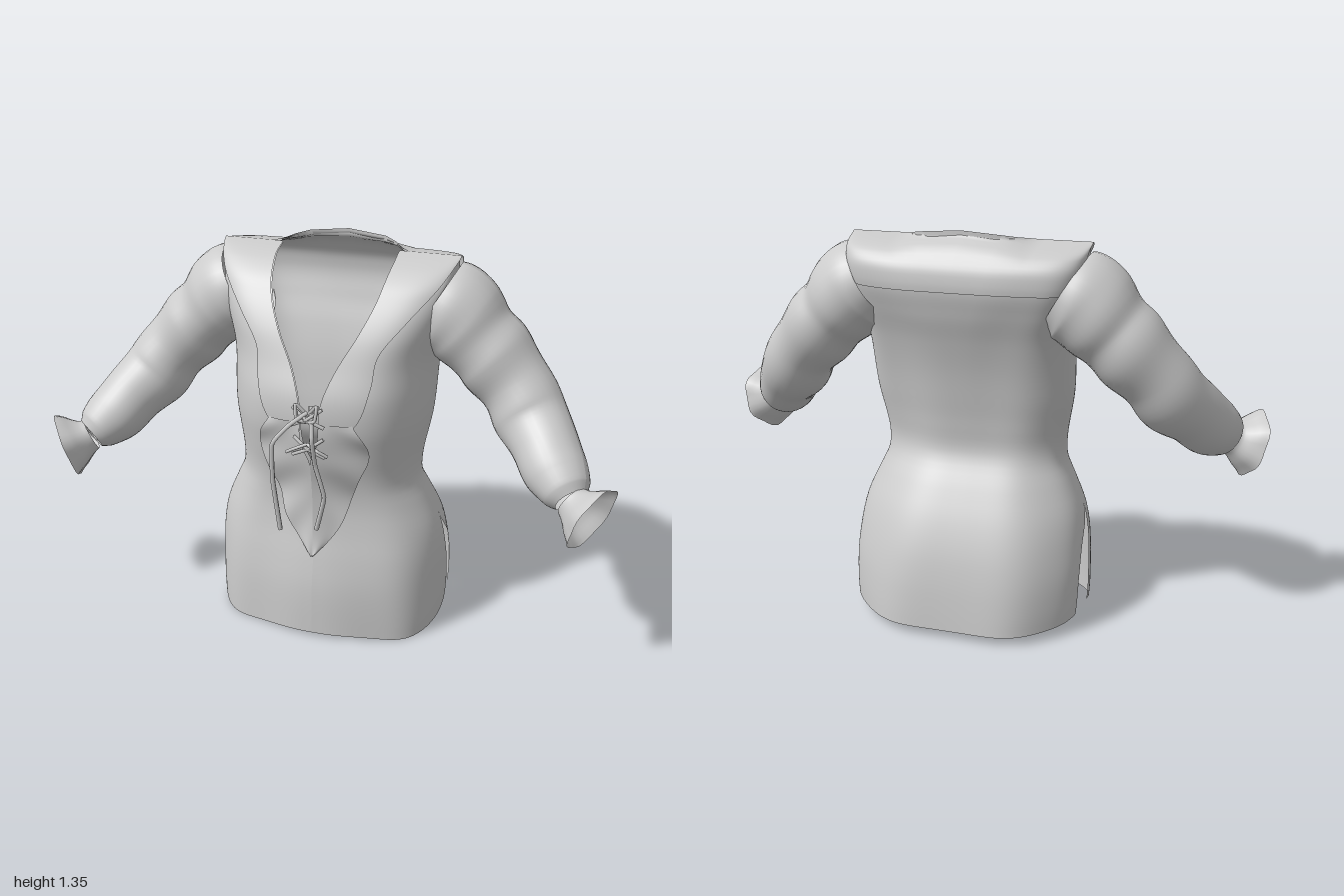
import * as THREE from 'three';

const cloth = new THREE.MeshStandardMaterial({ color: 0xcccccc, side: THREE.DoubleSide });

// Smooth curve through [position, value] pairs
function curve(pairs) {
  const c = new THREE.CubicInterpolant(pairs.map(p => p[0]), pairs.map(p => p[1]), 1, new Float64Array(1));
  return t => c.evaluate(t)[0];
}

// Open sheet from a rule f(u, v) -> [x, y, z]
function sheet(name, nu, nv, f) {
  const pos = [], idx = [];
  for (let j = 0; j <= nv; j++) for (let i = 0; i <= nu; i++) pos.push(...f(i / nu, j / nv));
  for (let j = 0; j < nv; j++) for (let i = 0; i < nu; i++) {
    const a = j * (nu + 1) + i, b = a + nu + 1;
    idx.push(a, a + 1, b, a + 1, b + 1, b);
  }
  const g = new THREE.BufferGeometry();
  g.setAttribute('position', new THREE.Float32BufferAttribute(pos, 3));
  g.setIndex(idx);
  g.computeVertexNormals();
  const m = new THREE.Mesh(g, cloth);
  m.name = name;
  return m;
}

// Body profiles by height: half width, front, back, side seam, squareness
const width = curve([[0, .408], [.1, .414], [.3, .407], [.4, .388], [.5, .345], [.56, .318], [.62, .315], [.8, .342], [1, .35], [1.1, .365], [1.2, .38], [1.32, .395]]);
const front = curve([[0, .26], [.2, .255], [.3, .24], [.4, .22], [.5, .21], [.6, .22], [.7, .245], [.8, .265], [.9, .26], [1, .222], [1.1, .177], [1.2, .11], [1.25, .065], [1.29, .005], [1.31, -.04], [1.32, -.08]]);
const back = curve([[0, -.37], [.1, -.36], [.2, -.345], [.3, -.32], [.4, -.28], [.5, -.225], [.6, -.165], [.7, -.165], [.8, -.178], [.9, -.195], [1, -.22], [1.1, -.25], [1.2, -.266], [1.27, -.238], [1.3, -.185], [1.32, -.08]]);
const seam = curve([[0, -.03], [.2, -.035], [.3, -.02], [.4, -.01], [.6, 0], [.8, -.04], [1, -.08], [1.32, -.08]]);
const power = curve([[0, 2.5], [.5, 2.3], [.9, 2.3], [1.05, 2.7], [1.2, 4], [1.32, 5]]);
// Neck opening, collar edge and side slit by height
const neck = curve([[.6, 0], [.68, 0], [.75, .024], [.9, .038], [1, .075], [1.1, .13], [1.2, .175], [1.3, .2]]);
const collarEdge = curve([[.78, .1], [.83, .15], [.95, .19], [1.05, .205], [1.15, .28], [1.25, .365], [1.32, .41]]);
const slit = curve([[.03, -.148], [.1, -.145], [.2, -.13], [.3, -.088], [.35, -.045], [.4, -.01]]);
const H = Math.PI / 2, TOP = 1.32;

// Angle on the cross-section at which the sheet reaches x
const angleAt = (x, y, off) => Math.asin(Math.min(1, Math.max(0, x) / (width(y) + off)) ** (power(y) / 2));

function bodyPoint(a, y, isBack, off = 0) {
  const k = 2 / power(y), s = Math.sin(a), m = seam(y);
  const x = Math.sign(s) * (width(y) + off) * Math.abs(s) ** k;
  const e = Math.max(0, Math.cos(a)) ** k;
  const side = Math.abs(a) / H;
  // Layers meet at the shoulder seam
  const zOff = off * Math.min(1, (TOP - y) / .03);
  let z = m + ((isBack ? back(y) - zOff : front(y) + zOff) - m) * e;
  // Soft folds, deeper at the hem
  z += (.004 + .004 * Math.max(0, 1 - y / .6)) * Math.cos(a * 7 + y * 2) * e * Math.min(1, (TOP - y) * 4);
  const hem = isBack ? .035 + .045 * side ** 3 : .018 - .02 * Math.sin(side * 3) ** 2 + .042 * side ** 4;
  let py = y + (hem - .03) * Math.max(0, 1 - y / .4) ** 2 + off * .4;
  if (isBack && y > 1.2) {
    const r = Math.min(1, Math.abs(x) / .22);
    z = Math.min(z, -.18 + .11 * r ** 4);
    py += .032 * (1 - r * r) * THREE.MathUtils.smoothstep(y, 1.25, TOP);
  }
  return [x, py, z];
}
const rise = (from, v) => from + (TOP - from) * (1 - (1 - v) ** 1.5);

// Sleeve rings: centre x, y, z, radius in the arm plane, radius front to back
const arm = [
  [.33, 1.17, -.09, .145, .155], [.38, 1.14, -.09, .16, .165], [.43, 1.095, -.09, .15, .16], [.48, 1.045, -.085, .135, .148],
  [.54, .985, -.08, .135, .142], [.61, .905, -.06, .122, .126], [.67, .825, -.025, .124, .122], [.73, .755, .045, .11, .112],
  [.785, .692, .115, .103, .105], [.825, .655, .165, .08, .08], [.842, .64, .185, .056, .056]];
const cuffRings = [[.842, .64, .185, .056, .056], [.86, .63, .197, .066, .066], [.886, .618, .212, .09, .09], [.915, .607, .228, .116, .112]];

function tubeSheet(name, rings, nv, wobble) {
  const path = new THREE.CatmullRomCurve3(rings.map(r => new THREE.Vector3(r[0], r[1], r[2])));
  const n = rings.length - 1;
  const ra = curve(rings.map((r, i) => [i / n, r[3]])), rb = curve(rings.map((r, i) => [i / n, r[4]]));
  return sheet(name, 32, nv, (u, v) => {
    const T = path.getTangent(v), c = path.getPoint(v), a = u * Math.PI * 2;
    const B = new THREE.Vector3(0, 0, 1).addScaledVector(T, -T.z).normalize();
    const A = new THREE.Vector3().crossVectors(B, T);
    const w = 1 + wobble(a, v);
    return c.addScaledVector(A, Math.cos(a) * ra(v) * w).addScaledVector(B, Math.sin(a) * rb(v) * w).toArray();
  });
}

function cord(name, points, r) {
  const path = new THREE.CatmullRomCurve3(points.map(p => new THREE.Vector3(...p)), false, 'catmullrom', .2);
  const m = new THREE.Mesh(new THREE.TubeGeometry(path, 28, r, 6), cloth);
  m.name = name;
  return m;
}

export function createModel() {
  const model = new THREE.Group();
  model.name = 'shirt';

  // Back panel, cut away at the side slits
  model.add(sheet('backPanel', 64, 70, (u, v) => {
    const y = rise(.03, v), m = seam(y);
    let lim = H;
    if (y < .4) lim = Math.acos(Math.min(1, Math.max(0, (slit(y) - m) / (back(y) - m))) ** (power(y) / 2));
    return bodyPoint((1 - 2 * u) * lim, y, true);
  }));
  // Back of the collar
  model.add(sheet('backCollar', 48, 16, (u, v) => {
    const c = 1 - 2 * u;
    return bodyPoint(c * 1.45, rise(1.17 + .05 * c ** 6, v), true, .012);
  }));

  for (const side of [1, -1]) {
    const half = new THREE.Group();
    half.name = side > 0 ? 'leftHalf' : 'rightHalf';
    half.scale.x = side;

    // Front panel, open along the neckline
    half.add(sheet('frontPanel', 32, 70, (u, v) => {
      const y = rise(.03, v), a0 = angleAt(y > .68 ? neck(y) : 0, y, 0);
      return bodyPoint(a0 + (H - a0) * u, y, false);
    }));
    // Collar strip beside the neckline
    half.add(sheet('frontCollar', 14, 40, (u, v) => {
      const y = rise(.8, v), a0 = angleAt(neck(y), y, .012), a1 = Math.min(1.45, angleAt(collarEdge(y), y, .012));
      return bodyPoint(a0 + (a1 - a0) * u, y, false, .012);
    }));
    // Loose flap below the neckline, tapering to a point
    const flapEdge = curve([[.32, .004], [.38, .055], [.45, .095], [.55, .125], [.62, .15], [.7, .18], [.77, .17], [.83, .135]]);
    half.add(sheet('frontFlap', 12, 30, (u, v) => {
      const y = .32 + .51 * v, x0 = y > .68 ? neck(y) : 0;
      const x = x0 + (flapEdge(y) - x0) * u;
      const p = bodyPoint(angleAt(x, y, 0), y, false, .014);
      p[2] += .018 * (1 - u) * Math.sin(v * Math.PI) + .008 * Math.sin(y * 38 + u * 3) * u;
      return p;
    }));

    // Puffed sleeve with soft folds, then a ruffled cuff
    half.add(tubeSheet('sleeve', arm, 60, (a, v) =>
      .025 * Math.sin(v * 36 + Math.cos(a) * 1.5) * Math.sin(v * Math.PI) + .012 * Math.sin(a * 3 + v * 9) * v));
    half.add(tubeSheet('cuff', cuffRings, 12, (a, v) => .045 * v * Math.sin(a * 6)));
    model.add(half);
  }

  // Crossed lacing over the opening
  for (const y of [.74, .85]) for (const s of [1, -1]) {
    const z = front(y) + .025;
    model.add(cord('crossLace', [[-.055 * s, y - .02, z], [0, y + .01, z + .012], [.05 * s, y + .045, z]], .006));
  }
  // Knot loops and hanging ends
  for (const s of [1, -1]) {
    model.add(cord('knotLoop', [[0, .87, .29], [.035 * s, .91, .3], [.03 * s, .86, .31], [0, .85, .3]], .006));
    model.add(cord('shortEnd', [[0, .77, .295], [.04 * s, .755, .31], [.07 * s, .735, .3]], .006));
  }
  model.add(cord('longLace', [[0, .88, .29], [-.05, .845, .33], [-.095, .79, .362], [-.1, .65, .35], [-.085, .46, .33]], .008));
  model.add(cord('longLace', [[.01, .9, .28], [.025, .8, .325], [.03, .7, .305], [.055, .58, .29], [.025, .45, .28]], .008));
  return model;
}
